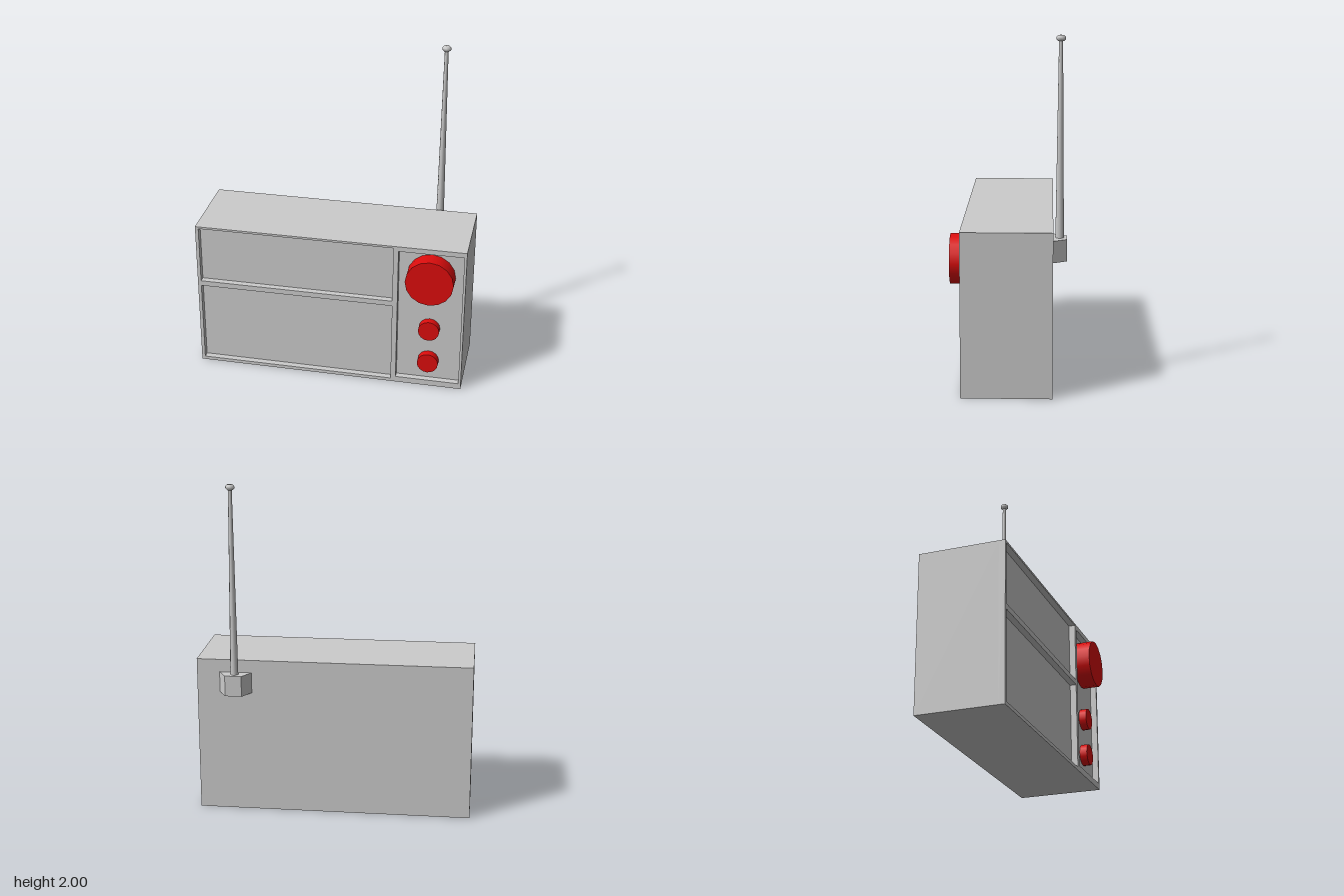
import * as THREE from 'three';

const grey = new THREE.MeshStandardMaterial({ color: 0xcccccc });
const red = new THREE.MeshStandardMaterial({ color: 0xdd0d0d });

const W = 0.82, H = 0.947, BACK = -0.249, FRONT = 0.264, RECESS = 0.038;
const FLOOR = FRONT - RECESS;

function add(group, name, geometry, material = grey, x = 0, y = 0, z = 0) {
  const mesh = new THREE.Mesh(geometry, material);
  mesh.name = name;
  mesh.position.set(x, y, z);
  group.add(mesh);
  return mesh;
}

// Rectangle outline from its edges
function rect(Type, x0, x1, y0, y1) {
  return new Type([[x0, y0], [x1, y0], [x1, y1], [x0, y1]].map(([x, y]) => new THREE.Vector2(x, y)));
}

export function createModel() {
  const radio = new THREE.Group();
  radio.name = 'radio';

  // Case: solid back and a front frame with three recessed panels
  const depth = FLOOR - BACK;
  add(radio, 'caseBody', new THREE.BoxGeometry(2 * W, H, depth), grey, 0, H / 2, BACK + depth / 2);
  const frame = rect(THREE.Shape, -W, W, 0, H);
  frame.holes.push(
    rect(THREE.Path, -0.80, 0.387, 0.573, 0.934),
    rect(THREE.Path, -0.80, 0.387, 0.021, 0.54),
    rect(THREE.Path, 0.418, 0.805, 0.037, 0.916)
  );
  add(radio, 'frontFrame', new THREE.ExtrudeGeometry(frame, { depth: RECESS, bevelEnabled: false }), grey, 0, 0, FLOOR);

  // Dials on the right-hand panel: name, y, radius, front z
  for (const [name, y, r, z] of [
    ['tuningDial', 0.752, 0.144, 0.326],
    ['upperKnob', 0.392, 0.064, 0.271],
    ['lowerKnob', 0.163, 0.064, 0.271],
  ]) {
    const length = z - FLOOR;
    const knob = new THREE.CylinderGeometry(r, r, length, 16).rotateX(Math.PI / 2);
    add(radio, name, knob, red, 0.612, y, FLOOR + length / 2);
  }

  // Antenna bracket: trapezoid plan, extruded upwards
  const plan = new THREE.Shape([[0.492, 0.249], [0.684, 0.249], [0.638, 0.327], [0.54, 0.327]]
    .map(([x, y]) => new THREE.Vector2(x, y)));
  const bracket = new THREE.ExtrudeGeometry(plan, { depth: 0.125, bevelEnabled: false }).rotateX(-Math.PI / 2);
  add(radio, 'antennaBracket', bracket, grey, 0, 0.745, 0);

  // Tapered antenna rod with a bevelled tip
  const antenna = new THREE.Group();
  antenna.name = 'antenna';
  antenna.position.set(0.588, 0, -0.285);
  add(antenna, 'antennaRod', new THREE.CylinderGeometry(0.011, 0.024, 1.11, 8), grey, 0, 1.42, 0);
  const tip = [[0, 1.967], [0.016, 1.967], [0.026, 1.977], [0.026, 1.99], [0.016, 2], [0, 2]]
    .map(([r, y]) => new THREE.Vector2(r, y));
  add(antenna, 'antennaTip', new THREE.LatheGeometry(tip, 8));
  radio.add(antenna);

  return radio;
}
